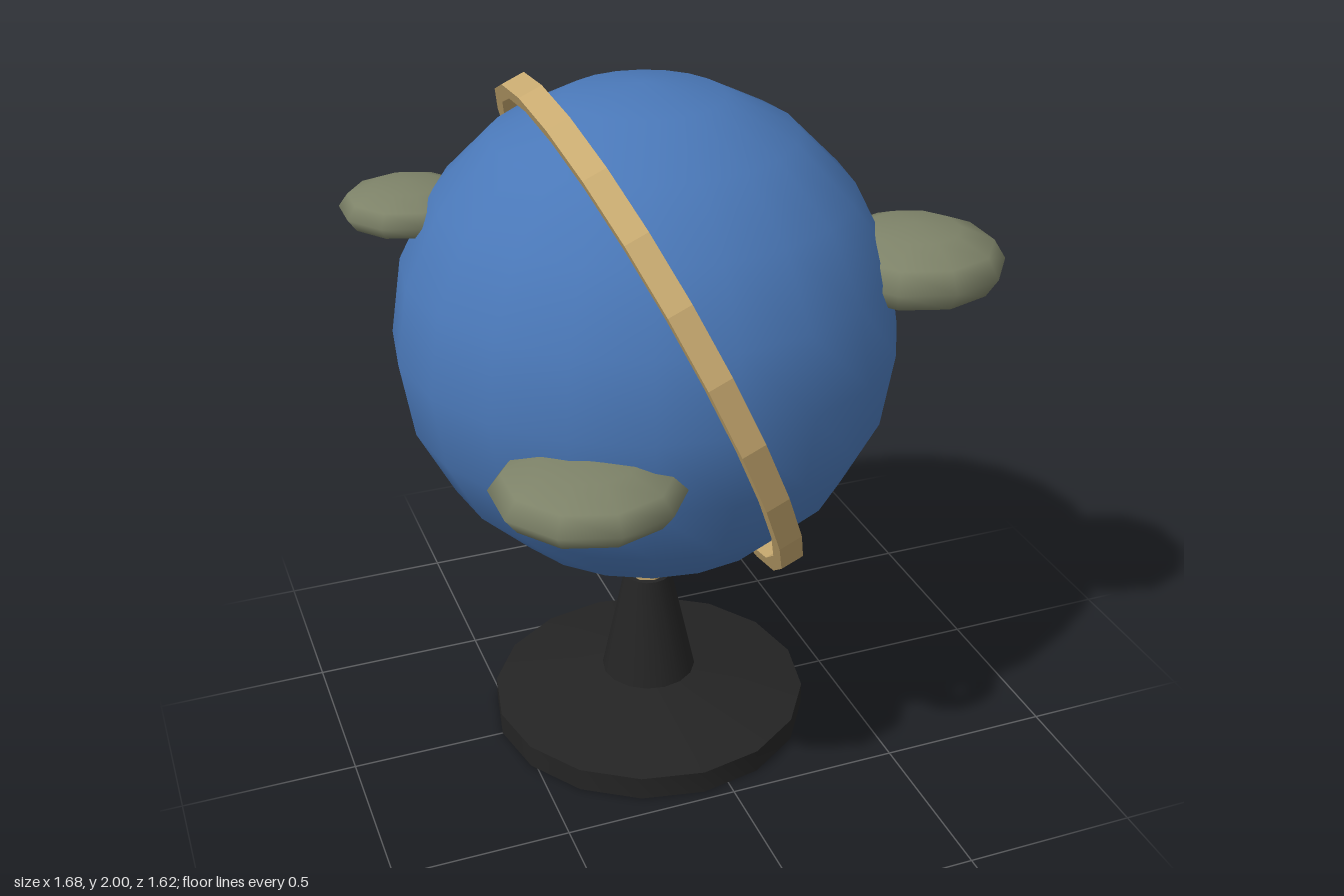
import * as THREE from 'three';
import { toCreasedNormals } from 'three/addons/utils/BufferGeometryUtils.js';

const AXIS_X = -0.08;
const GLOBE_Y = 1.28;
const TILT = THREE.MathUtils.degToRad(23.5);

const material = (color, flatShading = false) => new THREE.MeshStandardMaterial({ color, flatShading });

function addPart(group, name, geometry, mat, x, y, z) {
  const mesh = new THREE.Mesh(geometry, mat);
  mesh.name = name;
  mesh.position.set(x, y, z);
  group.add(mesh);
  return mesh;
}

const lathe = (points, segments) =>
  new THREE.LatheGeometry(points.map(([r, y]) => new THREE.Vector2(r, y)), segments);

export function createModel() {
  const group = new THREE.Group();
  group.name = 'deskGlobe';
  const black = material(0x242424);
  const brass = material(0xc8aa70, true);
  const land = material(0x7d8268);

  // Stepped foot with a tapering column
  const stand = lathe([[0, 0], [0.47, 0], [0.47, 0.07], [0.14, 0.145], [0.07, 0.475], [0, 0.475]], 16);
  addPart(group, 'stand', toCreasedNormals(stand, 0.45), black, AXIS_X, 0, 0);

  // Short pin between column and ball
  addPart(group, 'pin', new THREE.CylinderGeometry(0.057, 0.057, 0.17, 8), brass, AXIS_X, 0.485, 0);

  // Ball
  addPart(group, 'ball', new THREE.SphereGeometry(0.7, 20, 10), material(0x4a78b8), AXIS_X, GLOBE_Y, 0);

  // Tilted meridian ring with a rectangular section
  const w = 0.034;
  const ring = lathe([[0.73, -w], [0.772, -w], [0.772, w], [0.73, w], [0.73, -w]], 24);
  addPart(group, 'meridianRing', ring, brass, AXIS_X, GLOBE_Y, 0).rotation.z = TILT - Math.PI / 2;

  // Flattened land masses half sunk into the ball: x, y, z, radius, half height
  const lands = [
    [0.6, 1.48, 0.26, 0.255, 0.11],
    [-0.435, 1.137, 0.56, 0.255, 0.092],
    [-0.66, 1.615, -0.285, 0.19, 0.07],
    [0.0, 1.003, -0.62, 0.19, 0.068],
  ];
  lands.forEach(([x, y, z, r, h], i) => {
    const mesh = addPart(group, `landMass${i + 1}`, new THREE.SphereGeometry(1, 10, 6), land, x, y, z);
    mesh.scale.set(r, h, r);
    mesh.rotation.y = Math.PI / 10;
  });

  return group;
}
